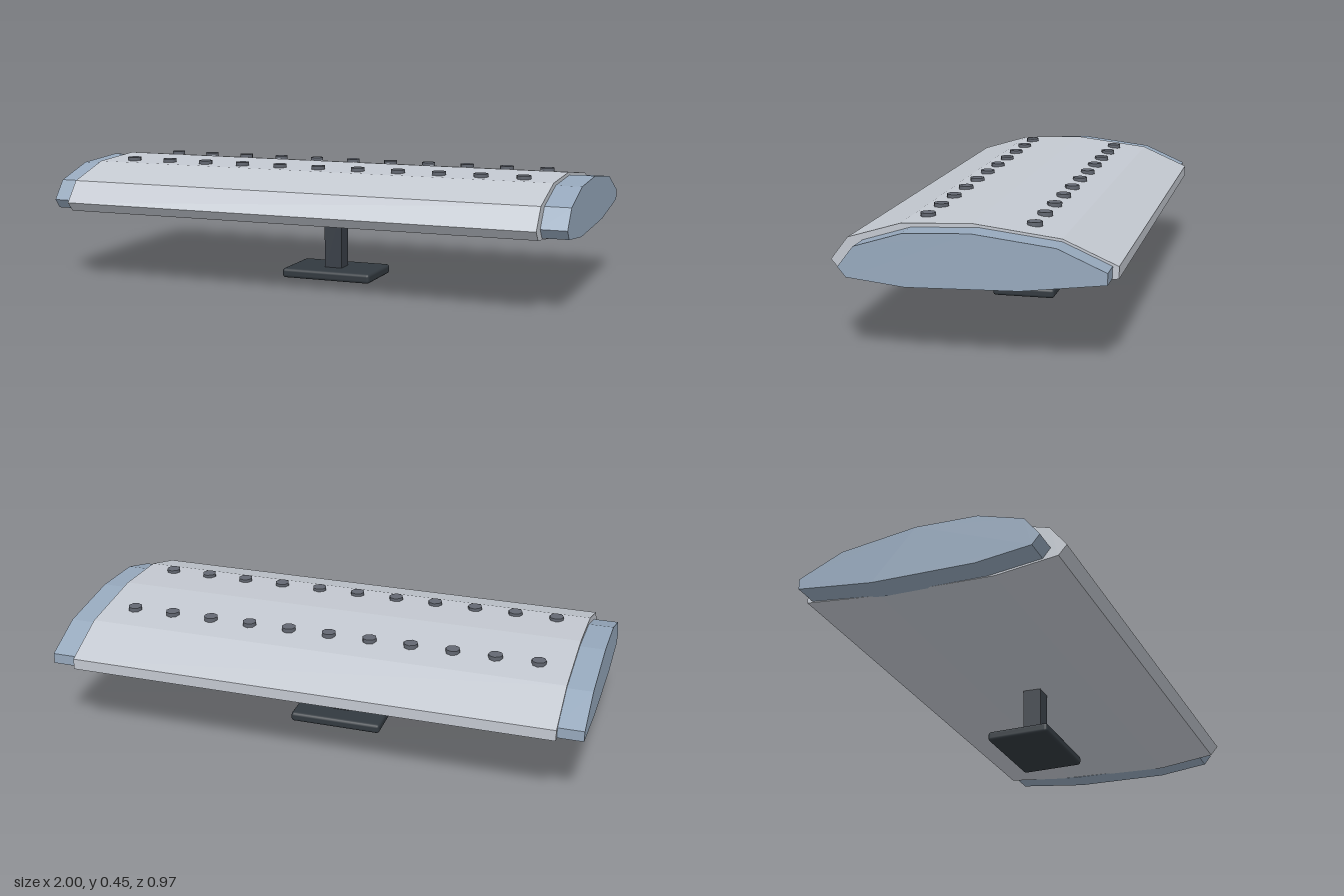
import * as THREE from 'three';
import { RoundedBoxGeometry } from 'three/addons/geometries/RoundedBoxGeometry.js';

const mat = (name, color) => {
  const m = new THREE.MeshStandardMaterial({ color });
  m.name = name;
  return m;
};

// Wing section as [z, y] points, swept along x and centred on x = 0
function sweep(points, length) {
  const shape = new THREE.Shape(points.map(([z, y]) => new THREE.Vector2(z, y)));
  const geo = new THREE.ExtrudeGeometry(shape, { depth: length, bevelEnabled: false });
  geo.translate(0, 0, -length / 2);
  geo.rotateY(-Math.PI / 2);
  return geo;
}

export function createModel() {
  const group = new THREE.Group();
  const panelGrey = mat('panelGrey', 0xc3c8d0);
  const capBlue = mat('capBlue', 0x96a8bc);
  const rivetGrey = mat('rivetGrey', 0x636872);
  const standDark = mat('standDark', 0x393f47);
  const baseDark = mat('baseDark', 0x32393f);

  const add = (name, geo, material, x = 0, y = 0, z = 0) => {
    const mesh = new THREE.Mesh(geo, material);
    mesh.name = name;
    mesh.position.set(x, y, z);
    group.add(mesh);
    return mesh;
  };

  // Main wing panel
  add('wingPanel', sweep([
    [0.485, 0.304], [0.455, 0.27], [0.23, 0.244], [-0.2, 0.261], [-0.484, 0.292],
    [-0.484, 0.333], [-0.3, 0.413], [0, 0.449], [0.24, 0.438], [0.425, 0.382],
  ], 1.814), panelGrey);

  // Smaller end caps
  const capGeo = sweep([
    [0.428, 0.304], [0.4, 0.27], [0.2, 0.248], [-0.18, 0.258], [-0.463, 0.294],
    [-0.463, 0.333], [-0.3, 0.404], [-0.02, 0.437], [0.207, 0.426], [0.373, 0.375],
  ], 0.1);
  add('leftEndCap', capGeo, capBlue, 0.95);
  add('rightEndCap', capGeo, capBlue, -0.95);

  // Two rows of rivets
  const rivetGeo = new THREE.CylinderGeometry(0.027, 0.027, 0.03, 8);
  for (const [row, z, top] of [['front', 0.182, 0.453], ['back', -0.183, 0.44]]) {
    for (let i = -5; i <= 5; i++) {
      add(row + 'Rivet', rivetGeo, rivetGrey, i * 0.1575, top - 0.015, z);
    }
  }

  // Stand: square post on a rounded foot
  add('standPost', new THREE.BoxGeometry(0.07, 0.25, 0.07), standDark, 0, 0.145, 0);
  add('standFoot', new RoundedBoxGeometry(0.36, 0.037, 0.24, 2, 0.012), baseDark, 0, 0.0185, 0);

  return group;
}
